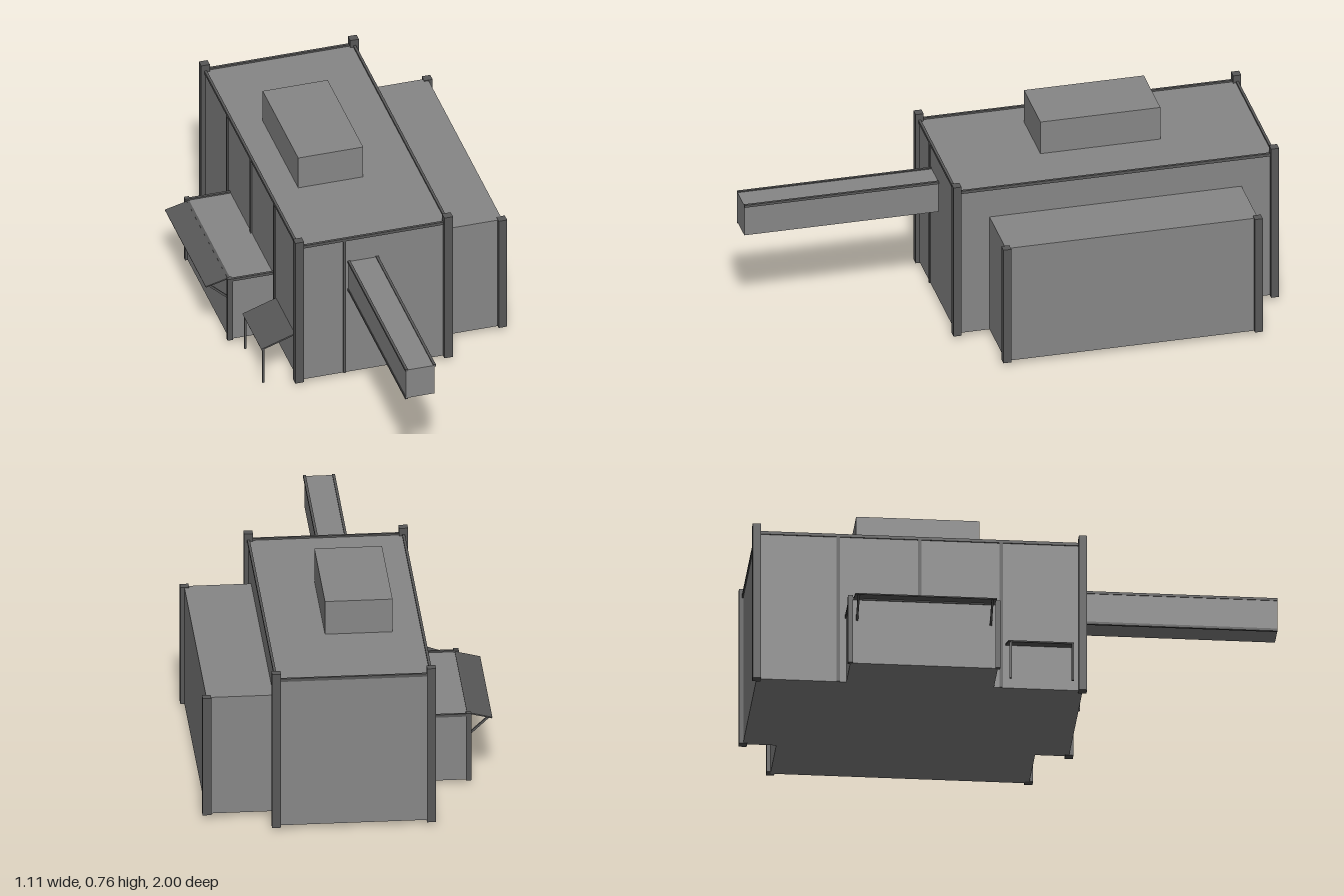
import * as THREE from 'three';

export function createModel() {
  const model = new THREE.Group();
  const wall = new THREE.MeshStandardMaterial({ color: 0x878787, flatShading: true });
  const dark = new THREE.MeshStandardMaterial({ color: 0x585858, flatShading: true });

  // Box given by its lower and upper limits
  function box(name, material, [x0, x1], [y0, y1], [z0, z1], parent = model) {
    const mesh = new THREE.Mesh(new THREE.BoxGeometry(x1 - x0, y1 - y0, z1 - z0), material);
    mesh.name = name;
    mesh.position.set((x0 + x1) / 2, (y0 + y1) / 2, (z0 + z1) / 2);
    parent.add(mesh);
  }
  const around = (c, width) => [c - width / 2, c + width / 2];

  // Dark sloping slab or strut running from a to b in the xy plane
  function slope(name, [ax, ay], [bx, by], thickness, [z0, z1]) {
    const length = Math.hypot(bx - ax, by - ay);
    const mesh = new THREE.Mesh(new THREE.BoxGeometry(length, thickness, z1 - z0), dark);
    mesh.name = name;
    mesh.position.set((ax + bx) / 2, (ay + by) / 2, (z0 + z1) / 2);
    mesh.rotation.z = Math.atan2(by - ay, bx - ax);
    model.add(mesh);
  }

  // Main hall with corner posts
  const left = 0.287, right = -0.298, front = 0.247, back = -0.984, floor = 0.017, roof = 0.621;
  box('mainHall', wall, [right, left], [floor, roof], [back, front]);
  for (const x of [right, left])
    for (const z of [back, front])
      box('cornerPost', dark, around(x, 0.034), [0.014, 0.653], around(z, 0.031));

  // Roof edge trim
  for (const x of [right, left]) box('roofTrim', dark, around(x, 0.01), [0.616, 0.628], [back, front]);
  for (const z of [back, front]) box('roofTrim', dark, [right, left], [0.616, 0.628], around(z, 0.01));

  // Wall battens on the front and the right side
  box('frontBatten', dark, around(-0.118, 0.01), [floor, roof], around(front, 0.01));
  for (let i = 1; i < 4; i++)
    box('sideBatten', dark, around(right, 0.01), [floor, roof], around(back + (front - back) * i / 4, 0.012));

  // Raised box on the roof
  box('roofBox', wall, [-0.185, 0.07], [roof, 0.757], [-0.598, -0.133]);

  // Overhead duct reaching forward, with edge rails
  const duct = new THREE.Group();
  duct.name = 'overheadDuct';
  model.add(duct);
  box('ductBody', wall, [-0.102, 0.01], [0.391, 0.518], [front, 1], duct);
  for (const [x, y] of [[-0.1, 0.517], [0.01, 0.517], [-0.1, 0.391]])
    box('ductRail', dark, around(x, 0.01), around(y, 0.01), [front, 1], duct);

  // Large left wing
  box('leftWing', wall, [left, 0.54], [floor, 0.5], [-0.858, 0.119]);
  for (const z of [-0.858, 0.117])
    box('leftWingPost', dark, around(0.539, 0.033), [floor, 0.503], around(z, 0.031));

  // Small right wing with posts and roof trim
  box('rightWing', wall, [-0.468, right], [floor, 0.286], [-0.645, -0.088]);
  for (const z of [-0.645, -0.088]) {
    box('rightWingPost', dark, around(-0.468, 0.02), [floor, 0.295], around(z, 0.018));
    box('rightWingTrim', dark, [-0.468, right], [0.281, 0.292], around(z, 0.01));
  }
  box('rightWingTrim', dark, around(-0.468, 0.01), [0.279, 0.289], [-0.645, -0.088]);

  // Awning on the right wing and its struts
  slope('awning', [-0.558, 0.264], [-0.468, 0.287], 0.005, [-0.633, -0.099]);
  for (const z of [-0.62, -0.115])
    slope('awningStrut', [-0.545, 0.264], [-0.47, 0.194], 0.008, around(z, 0.008));

  // Porch canopy on two thin legs
  slope('porchCanopy', [-0.43, 0.151], [right, 0.197], 0.006, [-0.045, 0.203]);
  for (const z of [-0.036, 0.199])
    box('porchLeg', dark, around(-0.422, 0.009), [0, 0.153], around(z, 0.008));

  return model;
}
